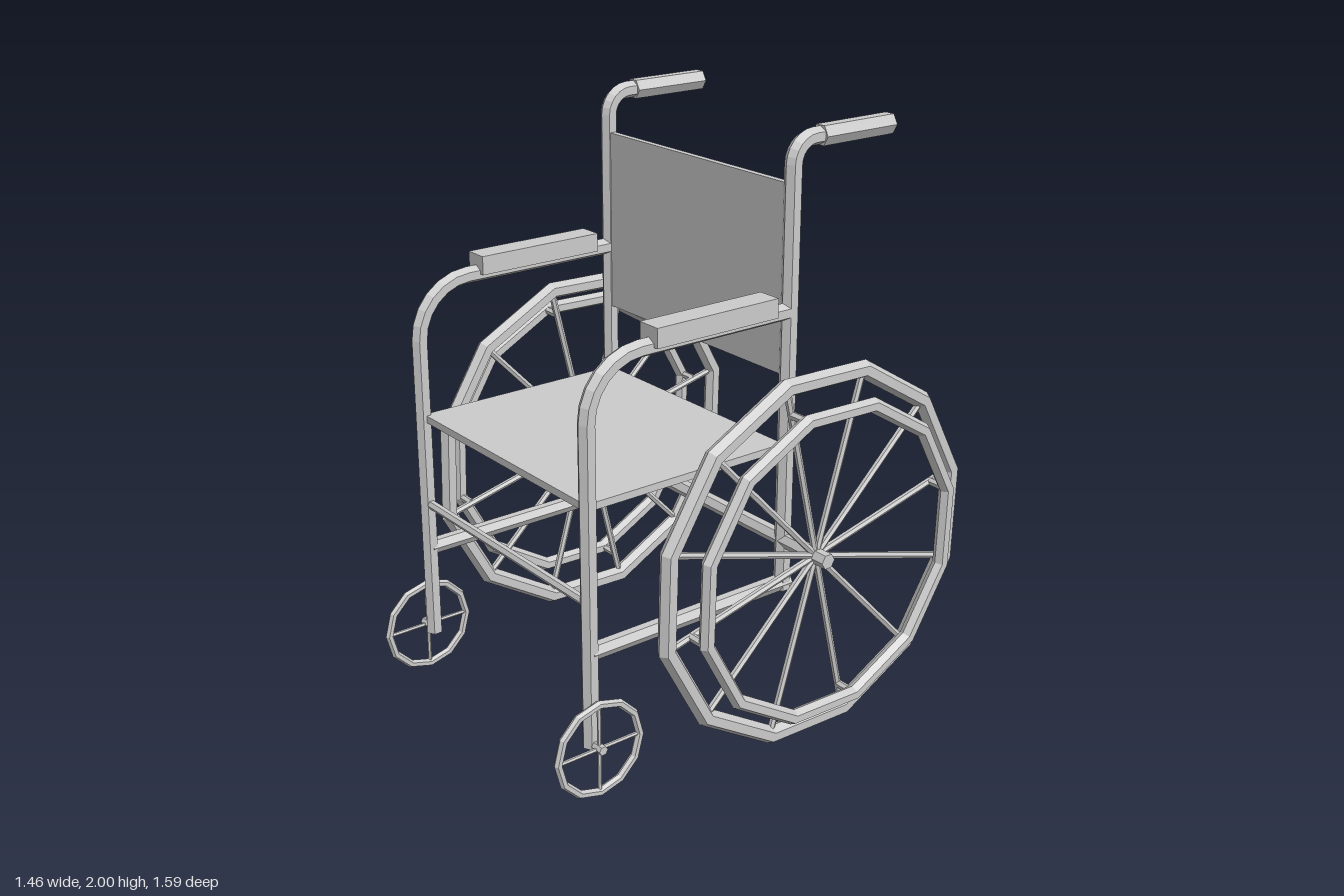
import * as THREE from 'three';

const material = new THREE.MeshStandardMaterial({ color: 0xcccccc, flatShading: true });
const V = (x, y, z) => new THREE.Vector3(x, y, z);
const BACK_Z = -0.155, FRONT_Z = 0.627, RAIL_X = 0.471;

// Path through given points, sampled exactly at those points
class Polyline extends THREE.Curve {
  constructor(points) {
    super();
    this.points = points;
  }
  getPoint(t) {
    return this.points[Math.round(t * (this.points.length - 1))].clone();
  }
  getPointAt(t) {
    return this.getPoint(t);
  }
  getTangentAt(t) {
    const p = this.points, i = Math.round(t * (p.length - 1)), sum = V(0, 0, 0);
    if (i > 0) sum.add(p[i].clone().sub(p[i - 1]).normalize());
    if (i < p.length - 1) sum.add(p[i + 1].clone().sub(p[i]).normalize());
    return sum.normalize();
  }
}

function add(parent, name, geometry, x = 0, y = 0, z = 0) {
  const mesh = new THREE.Mesh(geometry, material);
  mesh.name = name;
  mesh.position.set(x, y, z);
  parent.add(mesh);
  return mesh;
}

// Straight six-sided bar between two points
function bar(parent, name, a, b, radius) {
  const mesh = add(parent, name, new THREE.CylinderGeometry(radius, radius, a.distanceTo(b), 6));
  mesh.position.copy(a).add(b).multiplyScalar(0.5);
  mesh.quaternion.setFromUnitVectors(V(0, 1, 0), b.clone().sub(a).normalize());
  return mesh;
}

// Six-sided tube that rises from start, rounds a corner and runs on to end
function bentTube(parent, name, start, corner, end, bend, radius) {
  const a = corner.clone().add(start.clone().sub(corner).setLength(bend));
  const b = corner.clone().add(end.clone().sub(corner).setLength(bend));
  const centre = a.clone().add(b).sub(corner);
  const points = [start];
  for (let i = 0; i <= 6; i++) {
    const t = (i / 6) * Math.PI / 2;
    points.push(centre.clone()
      .addScaledVector(a.clone().sub(centre), Math.cos(t))
      .addScaledVector(b.clone().sub(centre), Math.sin(t)));
  }
  points.push(end);
  const hexagon = new THREE.Shape();
  for (let i = 0; i < 6; i++) {
    const t = (i / 6) * Math.PI * 2, x = radius * Math.cos(t), y = radius * Math.sin(t);
    if (i === 0) hexagon.moveTo(x, y); else hexagon.lineTo(x, y);
  }
  hexagon.closePath();
  add(parent, name, new THREE.ExtrudeGeometry(hexagon, {
    steps: points.length - 1, extrudePath: new Polyline(points), bevelEnabled: false,
  }));
}

// Wheel parts are built in the xy plane, then turned so that the axle lies along x
function wheelGroup(parent, name, x, y, z, turn) {
  const wheel = new THREE.Group();
  wheel.name = name;
  wheel.position.set(x, y, z);
  wheel.rotation.set(0, Math.PI / 2, turn);
  parent.add(wheel);
  return wheel;
}

function spokes(wheel, count, length, radius) {
  for (let i = 0; i < count; i++) {
    const t = (i / count) * Math.PI * 2;
    bar(wheel, 'spoke', V(0, 0, 0), V(Math.cos(t) * length, Math.sin(t) * length, 0), radius);
  }
}

function buildSide(parent, s) {
  const side = new THREE.Group();
  side.name = s > 0 ? 'leftSide' : 'rightSide';
  parent.add(side);
  const x = s * RAIL_X;

  // Back post with push handle
  bentTube(side, 'backPost', V(x, 0.465, BACK_Z), V(x, 1.969, BACK_Z), V(x, 1.969, -0.3), 0.075, 0.029);
  const grip = add(side, 'handGrip', new THREE.CylinderGeometry(0.036, 0.036, 0.295, 6), x, 1.969, -0.4085);
  grip.rotation.set(Math.PI / 2, Math.PI / 2, 0);

  // Front post curving into the armrest
  bentTube(side, 'frontPost', V(x, 0.16, FRONT_Z), V(x, 1.43, FRONT_Z), V(x, 1.43, BACK_Z), 0.19, 0.029);
  add(side, 'armrestPad', new THREE.BoxGeometry(0.085, 0.064, 0.47), x, 1.464, 0.163);
  const rail = bar(side, 'lowerRail', V(x, 0.488, -0.18), V(x, 0.488, FRONT_Z), 0.028);
  rail.rotateY(Math.PI / 2);

  // Large wheel with its push rim
  const wheel = wheelGroup(side, 'rearWheel', s * 0.629, 0.645, BACK_Z, THREE.MathUtils.degToRad(13.5));
  add(wheel, 'rim', new THREE.TorusGeometry(0.624, 0.031, 6, 12));
  add(wheel, 'pushRim', new THREE.TorusGeometry(0.528, 0.026, 6, 12), 0, 0, s * 0.077);
  spokes(wheel, 12, 0.615, 0.012);
  for (let i = 0; i < 4; i++) {
    const t = i * Math.PI / 2, px = 0.528 * Math.cos(t), py = 0.528 * Math.sin(t);
    bar(wheel, 'pushRimBracket', V(px, py, 0), V(px, py, s * 0.077), 0.014);
  }

  // Small caster wheel
  const caster = wheelGroup(side, 'casterWheel', s * 0.515, 0.17, FRONT_Z, 0);
  add(caster, 'casterRim', new THREE.TorusGeometry(0.156, 0.014, 6, 12));
  spokes(caster, 4, 0.156, 0.007);
  bar(side, 'casterAxle', V(x, 0.172, FRONT_Z), V(s * 0.538, 0.172, FRONT_Z), 0.016);
}

export function createModel() {
  const model = new THREE.Group();
  model.name = 'wheelchair';
  for (const s of [1, -1]) buildSide(model, s);

  // Seat and backrest panels
  add(model, 'seat', new THREE.BoxGeometry(0.93, 0.025, 0.78), 0, 0.968, 0.239);
  add(model, 'backrest', new THREE.BoxGeometry(0.93, 0.62, 0.022), 0, 1.525, BACK_Z);

  // Cross members
  bar(model, 'rearAxle', V(-0.69, 0.645, BACK_Z), V(0.69, 0.645, BACK_Z), 0.027);
  bar(model, 'frontCrossbar', V(-RAIL_X, 0.655, FRONT_Z), V(RAIL_X, 0.655, FRONT_Z), 0.016);
  return model;
}
